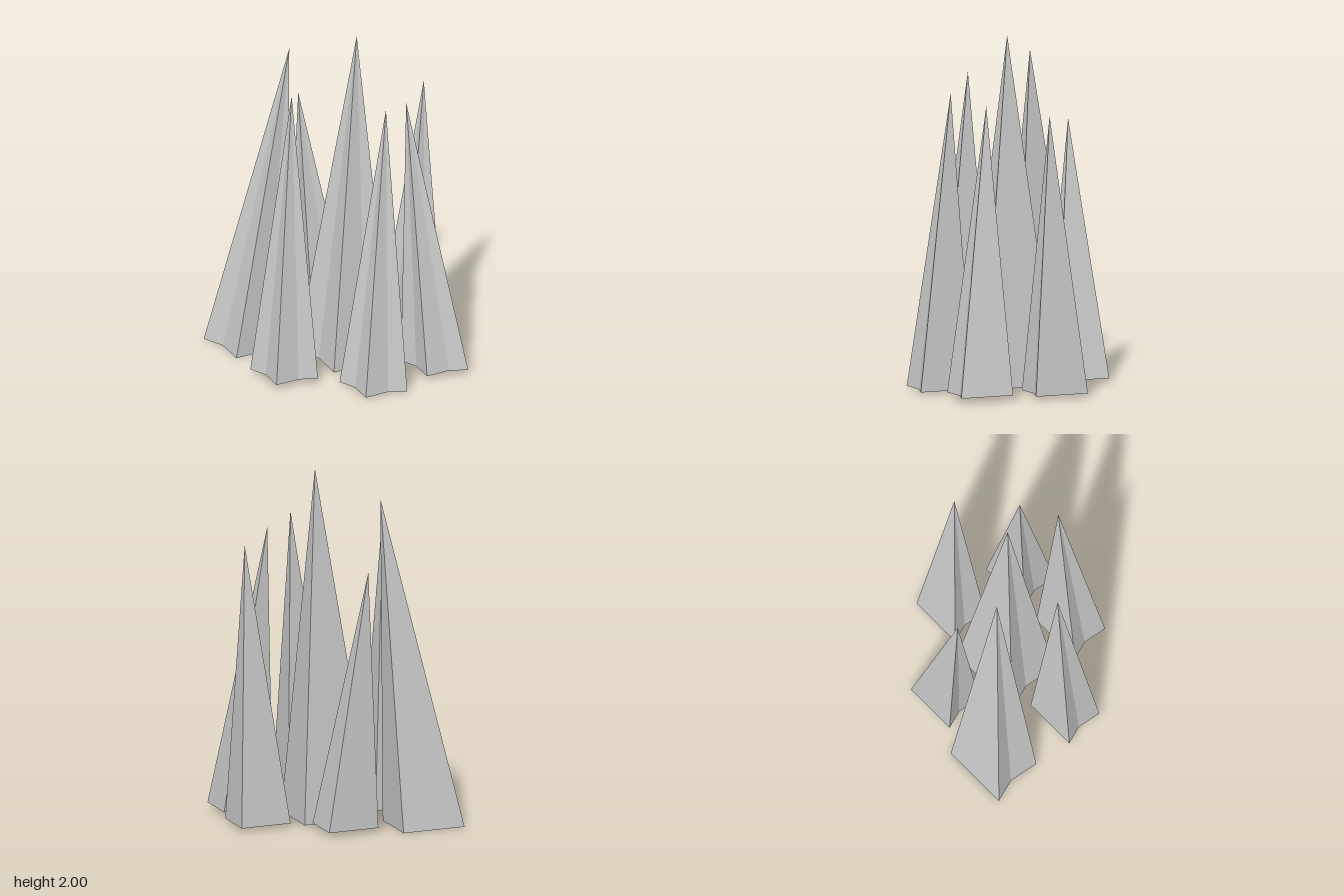
import * as THREE from 'three';

// Base outline [x, z]: broad kite at the back, notched point at the front
const OUTLINE = [
  [0, -0.29], [-0.2825, 0.058], [-0.135, 0.117],
  [0, 0.264], [0.14, 0.115], [0.2825, 0.058],
];

// Name, base centre [x, y, z], base scale, tip [x, y, z]
const SPIKES = [
  ['centreSpike', [0.05, 0.01, 0], 1, [0.1, 2, -0.01]],
  ['leftmostSpike', [-0.533, 0, 0.003], 0.876, [-0.3, 1.86, -0.02]],
  ['rightmostSpike', [0.577, 0.03, 0.01], 0.7, [0.4, 1.64, 0.02]],
  ['frontLeftSpike', [-0.2, 0.03, 0.363], 0.704, [-0.185, 1.735, 0.31]],
  ['frontRightSpike', [0.315, 0.01, 0.329], 0.704, [0.35, 1.695, 0.245]],
  ['backLeftSpike', [-0.191, 0.025, -0.317], 0.704, [-0.315, 1.475, -0.24]],
  ['backRightSpike', [0.325, 0.02, -0.352], 0.7, [0.39, 1.6, -0.35]],
];

// Leaning pyramid over the outline, closed underneath
function spikeGeometry([cx, cy, cz], scale, tip) {
  const ring = OUTLINE.map(([x, z]) => [cx + x * scale, cy, cz + z * scale]);
  const centre = [cx, cy, cz];
  const positions = [];
  ring.forEach((a, i) => {
    const b = ring[(i + 1) % ring.length];
    positions.push(...a, ...b, ...tip); // side
    positions.push(...b, ...a, ...centre); // underside
  });
  const geometry = new THREE.BufferGeometry();
  geometry.setAttribute('position', new THREE.Float32BufferAttribute(positions, 3));
  geometry.computeVertexNormals();
  return geometry;
}

export function createModel() {
  const group = new THREE.Group();
  group.name = 'spikeCluster';
  const material = new THREE.MeshStandardMaterial({ color: 0xcccccc, flatShading: true });
  for (const [name, base, scale, tip] of SPIKES) {
    const spike = new THREE.Mesh(spikeGeometry(base, scale, tip), material);
    spike.name = name;
    group.add(spike);
  }
  return group;
}
